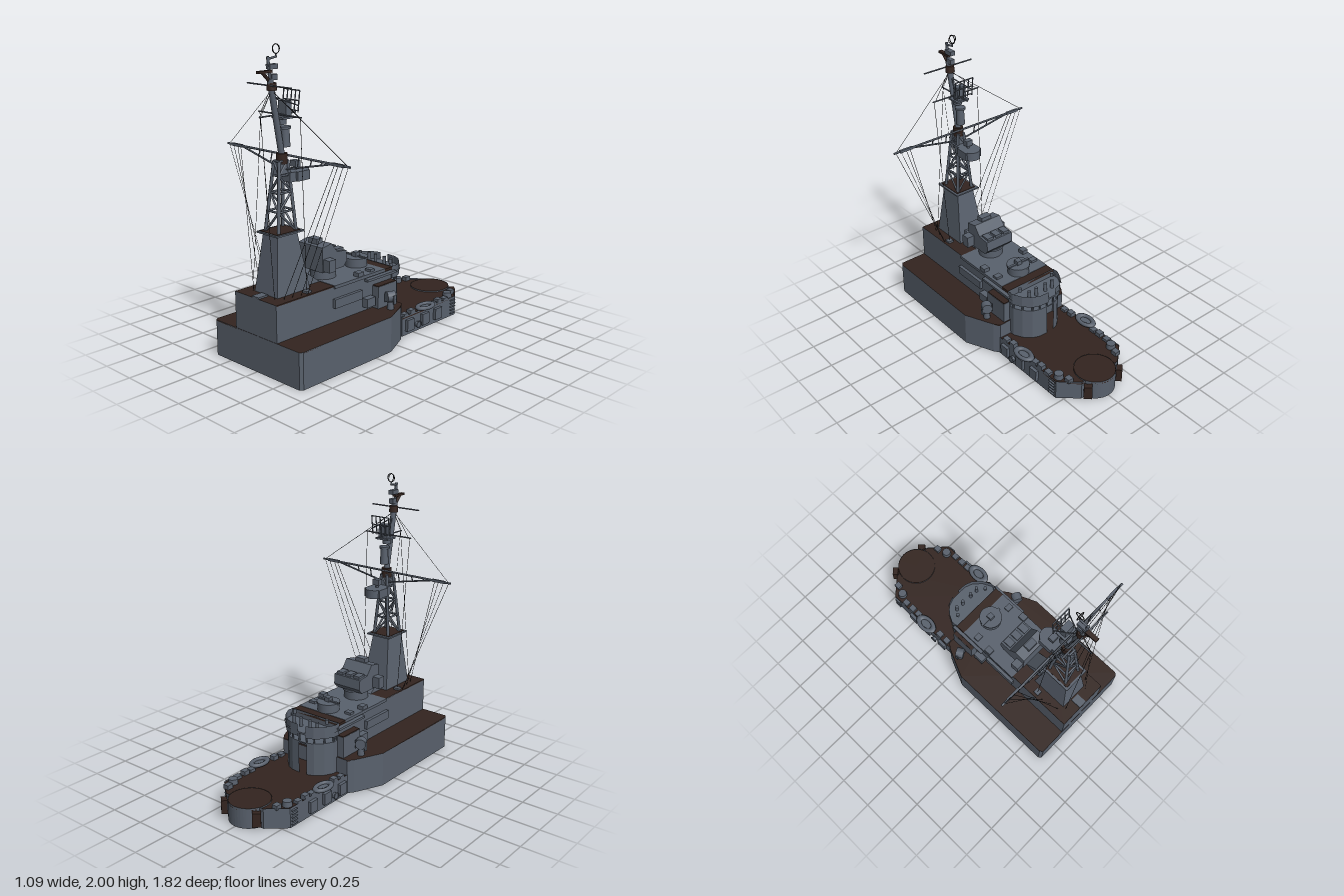
import * as THREE from 'three';

const mat = (name, color, side = THREE.FrontSide) => {
  const m = new THREE.MeshStandardMaterial({ color, side });
  m.name = name;
  return m;
};

export function createModel() {
  const root = new THREE.Group();
  const grey = mat('hull grey', 0x59616d, THREE.DoubleSide);
  const brown = mat('deck brown', 0x33241f, THREE.DoubleSide);
  const dark = mat('rigging black', 0x1b1c1f);

  const add = (name, geo, m = grey, x = 0, y = 0, z = 0) => {
    const mesh = new THREE.Mesh(geo, m);
    mesh.name = name;
    mesh.position.set(x, y, z);
    root.add(mesh);
    return mesh;
  };
  // box given by its limits
  const box = (name, x0, x1, y0, y1, z0, z1, m = grey) =>
    add(name, new THREE.BoxGeometry(x1 - x0, y1 - y0, z1 - z0), m, (x0 + x1) / 2, (y0 + y1) / 2, (z0 + z1) / 2);
  const cyl = (name, r0, r1, y0, y1, x, z, m = grey, n = 24, open = false) =>
    add(name, new THREE.CylinderGeometry(r1, r0, y1 - y0, n, 1, open), m, x, (y0 + y1) / 2, z);
  // bar between two points
  const strut = (name, a, b, r, m = grey, n = 6) => {
    const p = new THREE.Vector3(...a), q = new THREE.Vector3(...b), d = q.clone().sub(p);
    const mesh = add(name, new THREE.CylinderGeometry(r, r, d.length(), n), m);
    mesh.position.copy(p.add(q).multiplyScalar(0.5));
    mesh.quaternion.setFromUnitVectors(new THREE.Vector3(0, 1, 0), d.normalize());
    return mesh;
  };
  // upright sheet along an [x, z] path
  const wall = (name, pts, y0, y1, m = grey) => {
    const pos = [], idx = [];
    pts.slice(1).forEach(([x, z], i) => {
      const [px, pz] = pts[i], k = pos.length / 3;
      pos.push(px, y0, pz, x, y0, z, x, y1, z, px, y1, pz);
      idx.push(k, k + 1, k + 2, k, k + 2, k + 3);
    });
    const g = new THREE.BufferGeometry();
    g.setAttribute('position', new THREE.Float32BufferAttribute(pos, 3));
    g.setIndex(idx);
    g.computeVertexNormals();
    return add(name, g, m);
  };
  // flat slab over an [x, z] outline
  const slab = (name, pts, y, h, m = grey) => {
    const s = new THREE.Shape(pts.map(([x, z]) => new THREE.Vector2(x, -z)));
    const g = new THREE.ExtrudeGeometry(s, { depth: h, bevelEnabled: false }).rotateX(-Math.PI / 2);
    return add(name, g, m, 0, y, 0);
  };
  // mirrors a half outline (running along +x) into a full path
  const mirror = half => [...half, ...half.slice().reverse().filter(p => p[0] > 0).map(([x, z]) => [-x, z])];
  const close = p => [...p, p[0]];
  const both = f => [-1, 1].forEach(f);

  // Main hull, open underneath
  const hull = mirror([[0.28, -0.13], [0.31, -0.09], [0.4, 0.11], [0.4, 0.89], [0.385, 0.91]]);
  wall('hullSides', hull, 0, 0.24);
  wall('hullBulkhead', [[-0.28, -0.13], [0.28, -0.13]], 0.13, 0.24);
  slab('mainDeck', hull, 0.232, 0.008, brown);

  // Low deck with round tub at its end
  const arc = [];
  for (let i = 0; i <= 8; i++) {
    const a = (i / 8) * 1.2;
    arc.push([0.14 * Math.sin(a), -0.77 - 0.14 * Math.cos(a)]);
  }
  const low = mirror([...arc, [0.16, -0.82], [0.285, -0.71], [0.285, -0.13]]);
  wall('lowDeckSides', close(low).filter((p, i, l) => i < l.length), 0, 0.14);
  slab('lowDeck', low, 0.122, 0.008, brown);
  cyl('gunTubWall', 0.14, 0.14, 0, 0.138, 0, -0.77, grey, 40, true);
  cyl('gunTubFloor', 0.138, 0.138, 0.13, 0.138, 0, -0.77, brown, 40);

  // Low deck fittings on both sides
  both(s => {
    const raft = add('lifeRaft', new THREE.TorusGeometry(0.04, 0.014, 8, 24), grey, s * 0.28, 0.152, -0.38);
    raft.rotation.x = Math.PI / 2;
    raft.scale.set(1, 1.65, 1);
    const floor = cyl('raftFloor', 0.04, 0.04, 0.14, 0.15, s * 0.28, -0.38);
    floor.scale.z = 1.65;
    cyl('hatch', 0.033, 0.03, 0.13, 0.165, s * 0.235, -0.68, grey, 16);
    [-0.18, -0.25, -0.48, -0.54, -0.61, -0.75].forEach((z, i) => {
      const x = z < -0.7 ? 0.21 : 0.262;
      box('deckLocker', s * x - 0.02, s * x + 0.02, 0.13, 0.15 + (i % 2) * 0.01, z - 0.022, z + 0.022);
    });
    [-0.2, -0.36, -0.5].forEach(z =>
      box('sidePlate', s * 0.295 - 0.012, s * 0.295 + 0.012, 0.03, 0.11, z - 0.035, z + 0.035));
    const port = add('porthole', new THREE.TorusGeometry(0.022, 0.004, 6, 20), grey, s * 0.31, 0.052, -0.28);
    port.rotation.y = Math.PI / 2;
    cyl('portholeDisc', 0.02, 0.02, -0.01, 0.01, 0, 0).position.set(s * 0.3, 0.052, -0.28);
    root.children[root.children.length - 1].rotation.z = Math.PI / 2;
    for (let i = 0; i < 5; i++) box('ladderRung', s * 0.29 - 0.008, s * 0.29 + 0.008, 0.02 + i * 0.024, 0.025 + i * 0.024, -0.7, -0.65);
    const chock = box('cornerChock', s * 0.14 - 0.028, s * 0.14 + 0.028, 0.03, 0.125, -0.88, -0.84, brown);
    chock.rotation.y = s * -0.75;
  });

  // Deckhouse
  wall('deckhouseSides', [[0.19, -0.12], [0.19, 0.908], [-0.19, 0.908], [-0.19, -0.12], [0.19, -0.12]], 0.24, 0.48);
  box('deckhouseRoof', -0.19, 0.19, 0.472, 0.48, 0.42, 0.907, brown);
  box('upperDeck', -0.2, 0.2, 0.462, 0.483, -0.05, 0.42);
  box('bridgeFloor', -0.2, 0.2, 0.462, 0.48, -0.12, -0.05, brown);
  box('frontLadder', -0.03, 0.03, 0.475, 0.49, 0.83, 0.907);

  // Rounded bridge tower with an open window band
  const nose = k => mirror([[0, -0.29 * k], [0.06, -0.287 * k], [0.11, -0.268 * k], [0.16, -0.22 * k], [0.19, -0.16 * k], [0.19, -0.12]]);
  wall('bridgeTower', nose(1), 0.13, 0.36);
  slab('bridgeSill', nose(1), 0.352, 0.008);
  const rim = nose(1.04).map(([x, z]) => [x * 1.06, z]);
  wall('bridgeScreen', rim, 0.4, 0.485);
  slab('bridgeRoof', rim, 0.42, 0.012);
  wall('bridgeBand', rim.map(([x, z]) => [x * 1.03, z * 1.02]), 0.435, 0.45);
  nose(0.98).forEach(([x, z]) => strut('windowPost', [x * 0.98, 0.355, z], [x * 0.98, 0.425, z], 0.006));
  [-0.1, -0.04, 0.04, 0.1].forEach(x => cyl('instrument', 0.012, 0.012, 0.43, 0.495, x, -0.22, grey, 10));

  both(s => {
    const b = (n, x0, x1, ...r) => box(n, Math.min(s * x0, s * x1), Math.max(s * x0, s * x1), ...r);
    b('sideShelter', 0.19, 0.24, 0.24, 0.39, -0.12, 0.06);
    b('shelterTop', 0.19, 0.238, 0.39, 0.396, -0.118, 0.058, brown);
    b('bridgeWing', 0.19, 0.222, 0.44, 0.456, -0.14, 0.14);
    b('sideShelf', 0.19, 0.212, 0.335, 0.395, 0.18, 0.43);
    b('sideLocker', 0.19, 0.235, 0.27, 0.33, 0.08, 0.16);
    b('deckBox', 0.15, 0.195, 0.48, 0.51, 0.15, 0.2);
    b('sightBox', 0.13, 0.18, 0.48, 0.5, 0.03, 0.07);
    // Searchlights
    cyl('lampFoot', 0.024, 0.02, 0.24, 0.29, s * 0.295, 0, grey, 12);
    const lamp = cyl('lampDrum', 0.036, 0.036, -0.028, 0.028, 0, 0, grey, 18);
    lamp.position.set(s * 0.295, 0.325, 0);
    lamp.rotation.set(Math.PI / 2, 0, s * 0.5);
    b('lampYokeOuter', 0.328, 0.336, 0.28, 0.34, -0.012, 0.012);
    b('lampYokeInner', 0.254, 0.262, 0.28, 0.34, -0.012, 0.012);
    cyl('sight', 0.012, 0.012, 0.48, 0.51, s * 0.14, -0.17, grey, 10);
  });

  // Round sight platform
  cyl('sightTub', 0.075, 0.075, 0.48, 0.54, 0, 0.02, grey, 28);
  cyl('sightTubRim', 0.08, 0.08, 0.53, 0.545, 0, 0.02, grey, 28);
  box('sightHead', -0.02, 0.02, 0.545, 0.575, 0, 0.04);
  box('sightArm', -0.09, 0.09, 0.545, 0.553, 0.012, 0.028);

  // Gun director: side profile extruded across
  cyl('directorBase', 0.085, 0.085, 0.48, 0.54, 0, 0.33, grey, 28);
  cyl('directorRing', 0.095, 0.095, 0.54, 0.555, 0, 0.33, grey, 28);
  const side = new THREE.Shape([[0.44, 0.55], [0.44, 0.715], [0.36, 0.73], [0.31, 0.665], [0.225, 0.655], [0.22, 0.585], [0.25, 0.55]]
    .map(([z, y]) => new THREE.Vector2(-z, y)));
  const dir = new THREE.ExtrudeGeometry(side, { depth: 0.22, bevelEnabled: false }).rotateY(Math.PI / 2);
  add('director', dir, grey, -0.11);
  [-0.07, 0, 0.07].forEach(x => box('directorHatch', x - 0.025, x + 0.025, 0.655, 0.675, 0.235, 0.3));
  box('directorTop', -0.04, 0.04, 0.72, 0.755, 0.37, 0.42);
  both(s => box('directorEar', s * 0.137 - 0.028, s * 0.137 + 0.028, 0.56, 0.64, 0.375, 0.435));

  // Mast tower: tapered box with a sloped fairing behind
  const taper = (name, y0, y1, [x0, a0, b0], [x1, a1, b1], m = grey) => {
    const g = new THREE.BoxGeometry(1, 1, 1), p = g.attributes.position;
    for (let i = 0; i < p.count; i++) {
      const up = p.getY(i) > 0, w = up ? x1 : x0, front = p.getZ(i) > 0;
      p.setXYZ(i, Math.sign(p.getX(i)) * w, up ? y1 : y0, up ? (front ? a1 : b1) : (front ? a0 : b0));
    }
    g.computeVertexNormals();
    return add(name, g, m);
  };
  taper('mastTower', 0.48, 0.86, [0.105, 0.82, 0.55], [0.065, 0.775, 0.615]);
  taper('mastFairing', 0.48, 0.57, [0.06, 0.56, 0.42], [0.055, 0.56, 0.54]);
  box('mastPlatform', -0.095, 0.095, 0.855, 0.865, 0.58, 0.805);
  box('mastPlatformFloor', -0.08, 0.08, 0.865, 0.868, 0.6, 0.79, brown);
  both(s => [0.78, 0.6].forEach(z => strut('mastFoot', [s * 0.13, 0, z + 0.02], [s * 0.11, 0.24, z], 0.012)));

  // Lattice section
  const corner = (sx, sz, t) => [sx * (0.06 - 0.037 * t), 0.86 + 0.44 * t, 0.69 - 0.012 * t + sz * (0.072 - 0.037 * t)];
  const ring = [[1, 1], [1, -1], [-1, -1], [-1, 1]];
  ring.forEach(([x, z], i) => {
    const [nx, nz] = ring[(i + 1) % 4];
    strut('latticeLeg', corner(x, z, 0), corner(x, z, 1), 0.011);
    [0, 0.3, 0.56, 0.8].forEach((t, j, l) => {
      const t2 = l[j + 1] ?? 1;
      strut('latticeTie', corner(x, z, t2), corner(nx, nz, t2), 0.007);
      const [p, q] = (i + j) % 2 ? [t, t2] : [t2, t];
      strut('latticeBrace', corner(x, z, p), corner(nx, nz, q), 0.007);
    });
  });
  taper('mastNeck', 1.22, 1.3, [0.03, 0.725, 0.635], [0.024, 0.705, 0.645]);

  // Radar platform behind the lattice
  box('radarPlatform', -0.05, 0.05, 1.165, 1.225, 0.52, 0.65);
  cyl('radarPlatformEnd', 0.06, 0.06, 1.165, 1.225, 0, 0.525, grey, 20);
  both(s => box('radarSide', s * 0.055 - 0.01, s * 0.055 + 0.01, 1.165, 1.225, 0.5, 0.6));
  cyl('radarPost', 0.01, 0.01, 1.225, 1.25, 0, 0.56, grey, 8);
  box('radarHead', -0.025, 0.025, 1.245, 1.285, 0.54, 0.58);

  // Upper mast, yards and collars
  cyl('lowerCollar', 0.035, 0.035, 1.28, 1.345, 0, 0.67, brown, 16);
  strut('upperMast', [0, 1.32, 0.668], [0, 1.8, 0.752], 0.02, grey, 12);
  cyl('mastDrum', 0.03, 0.026, 1.38, 1.49, 0, 0.638, grey, 16);
  cyl('mastDrumCap', 0.036, 0.036, 1.49, 1.505, 0, 0.638, grey, 16);
  cyl('upperDrum', 0.03, 0.03, 1.52, 1.56, 0, 0.665, grey, 14);
  cyl('mastTopCollar', 0.032, 0.028, 1.73, 1.775, 0, 0.738, brown, 12);
  strut('mainYard', [-0.545, 1.33, 0.64], [0.545, 1.33, 0.64], 0.007);
  strut('middleYard', [-0.19, 1.58, 0.68], [0.19, 1.58, 0.68], 0.005);
  strut('topYard', [-0.195, 1.76, 0.76], [0.195, 1.76, 0.76], 0.005);
  strut('foreAftSpar', [0, 1.58, 0.55], [0, 1.58, 0.84], 0.005);
  both(s => {
    strut('yardTruss', [s * 0.4, 1.328, 0.64], [s * 0.02, 1.245, 0.66], 0.006);
    [0.12, 0.23, 0.32].forEach(x => strut('yardTie', [s * x, 1.33, 0.64], [s * x, 1.244 + x * 0.21, 0.655], 0.004));
    box('yardSleeve', s * 0.45 - 0.05, s * 0.45 + 0.05, 1.321, 1.339, 0.632, 0.648);
  });

  // Radar frame
  box('radarDeck', -0.05, 0.05, 1.555, 1.567, 0.6, 0.7);
  box('radarMount', -0.035, 0.035, 1.567, 1.66, 0.615, 0.66);
  [1.6, 1.66, 1.72].forEach((y, i) => strut('radarRail', [-0.07, y, 0.595 - i * 0.008], [0.07, y, 0.595 - i * 0.008], 0.004));
  [-0.07, -0.035, 0, 0.035, 0.07].forEach(x => strut('radarRib', [x, 1.59, 0.596], [x, 1.72, 0.579], 0.004));
  both(s => strut('radarStay', [s * 0.07, 1.63, 0.59], [0, 1.69, 0.72], 0.004));

  // Masthead
  box('mastheadArm', -0.014, 0.014, 1.835, 1.85, 0.74, 0.845, brown);
  strut('mastheadBrace', [0, 1.77, 0.74], [0, 1.84, 0.81], 0.012, brown);
  strut('topPole', [0, 1.78, 0.75], [0, 1.93, 0.765], 0.01);
  box('mastheadBox', -0.018, 0.018, 1.855, 1.885, 0.7, 0.765);
  box('lowerMastheadBox', -0.016, 0.016, 1.79, 1.825, 0.705, 0.75);
  strut('loopArm', [0, 1.915, 0.765], [0, 1.925, 0.7], 0.007);
  strut('loopStem', [0, 1.92, 0.7], [0, 1.945, 0.7], 0.005);
  [0, Math.PI / 2].forEach(a => {
    add('loopAerial', new THREE.TorusGeometry(0.028, 0.0028, 6, 24), dark, 0, 1.971, 0.7).rotation.y = a;
  });

  // Rigging
  const line = (a, b) => strut('riggingLine', a, b, 0.0016, dark, 4);
  both(s => {
    [[0.53, 0.18, 0.64], [0.49, 0.165, 0.68], [0.45, 0.15, 0.74], [0.42, 0.14, 0.8]].forEach(([x, f, z]) =>
      line([s * x, 1.33, 0.64], [s * f, 0.48, z]));
    line([0, 1.73, 0.74], [s * 0.53, 1.33, 0.64]);
    line([s * 0.18, 1.58, 0.68], [s * 0.15, 0.48, 0.62]);
    line([s * 0.02, 1.72, 0.74], [s * 0.17, 1.58, 0.68]);
    line([0, 1.58, 0.83], [s * 0.1, 0.48, 0.84]);
    line([0, 1.73, 0.74], [0, 1.58, s > 0 ? 0.84 : 0.83]);
    box('riggingFoot', s * 0.15 - 0.02, s * 0.15 + 0.02, 0.48, 0.495, 0.6, 0.64);
  });

  return root;
}
